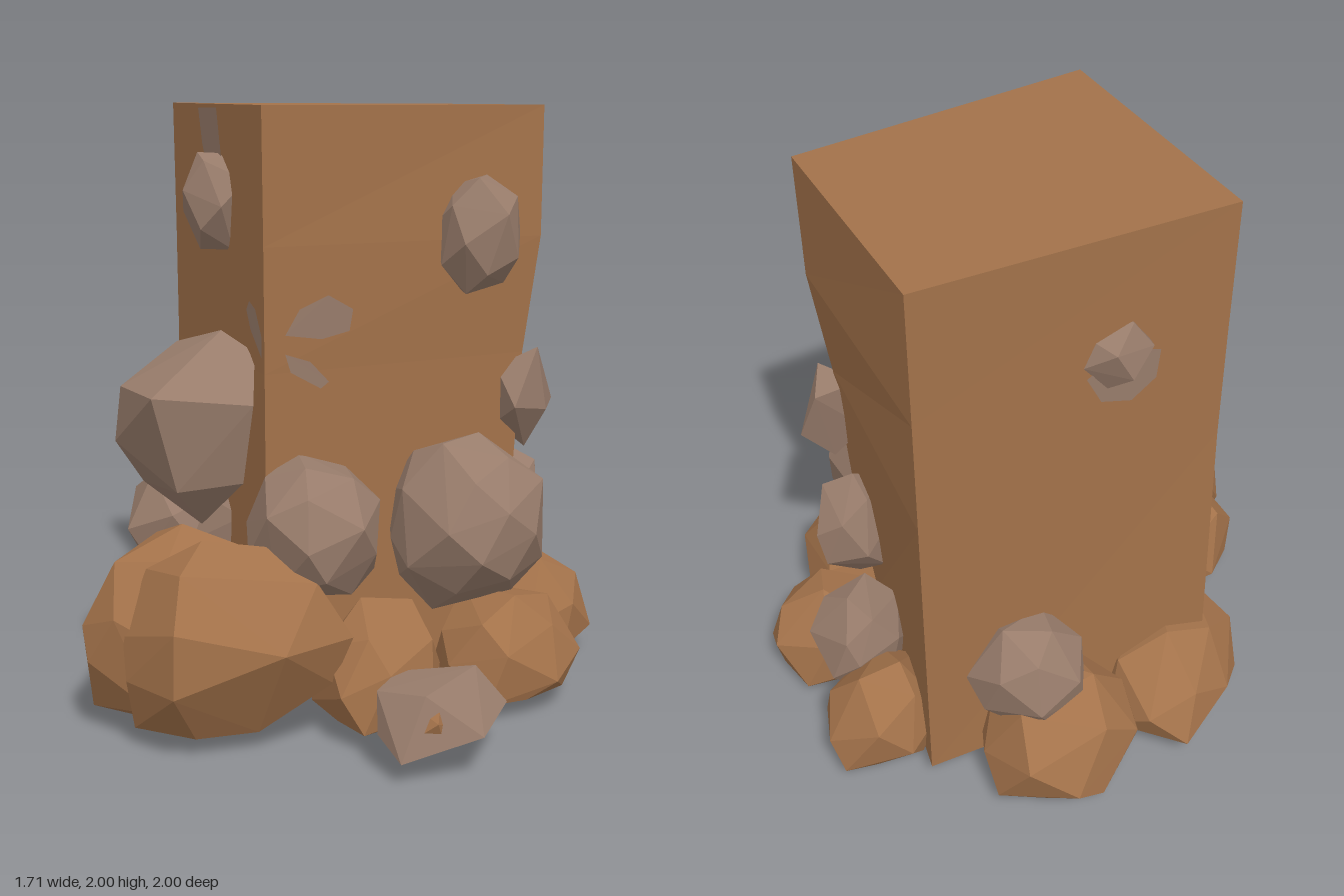
import * as THREE from 'three';
import { ConvexGeometry } from 'three/addons/geometries/ConvexGeometry.js';

const earth = new THREE.MeshStandardMaterial({ color: 0xa3724a, flatShading: true });
earth.name = 'earth brown';
const stone = new THREE.MeshStandardMaterial({ color: 0x987c6b, flatShading: true });
stone.name = 'stone grey';

const GROUND = 0.06;
const vec = (p) => new THREE.Vector3(...p);

function seeded(seed) {
  let s = seed * 7919 + 13;
  return () => {
    s = (s * 16807) % 2147483647;
    return s / 2147483647;
  };
}

// Faceted boulder: jittered points spread over a sphere, fitted to a centre and half sizes
function boulder([cx, cy, cz], [rx, ry, rz], count, seed) {
  const random = seeded(seed);
  random();
  const turn = random() * 6.28;
  const points = [];
  for (let i = 0; i < count; i++) {
    const y = 1 - (2 * (i + 0.5)) / count + (random() - 0.5) * 0.12;
    const r = Math.sqrt(Math.max(0, 1 - y * y));
    const a = turn + i * 2.39996 + (random() - 0.5) * 0.4;
    points.push(new THREE.Vector3(r * Math.cos(a), y, r * Math.sin(a)).multiplyScalar(0.94 + random() * 0.12));
  }
  const box = new THREE.Box3().setFromPoints(points);
  const mid = box.getCenter(new THREE.Vector3());
  const half = box.getSize(new THREE.Vector3()).multiplyScalar(0.5);
  for (const p of points) {
    p.sub(mid).divide(half);
    p.set(cx + p.x * rx, Math.max(GROUND, cy + p.y * ry), cz + p.z * rz);
  }
  return new ConvexGeometry(points);
}

// Angular rock from a few corners
const hull = (...corners) => new ConvexGeometry(corners.map(vec));

function fan(points) {
  const tris = [];
  for (let i = 1; i < points.length - 1; i++) tris.push(points[0], points[i], points[i + 1]);
  return tris;
}

function meshFrom(points, material, name) {
  const geometry = new THREE.BufferGeometry().setFromPoints(points);
  geometry.computeVertexNormals();
  const mesh = new THREE.Mesh(geometry, material);
  mesh.name = name;
  return mesh;
}

// Pillar rings, bottom to top; corners run front, right-hand, back, left-hand
const rings = [
  [[-0.065, 0.06, 0.52], [0.53, 0.06, -0.17], [0.06, 0.06, -0.905], [-0.735, 0.06, -0.22]],
  [[-0.066, 1.15, 0.52], [0.585, 1.15, -0.235], [0.06, 1.15, -0.917], [-0.718, 1.15, -0.22]],
  [[-0.067, 1.55, 0.52], [0.634, 1.55, -0.267], [0.06, 1.55, -0.922], [-0.72, 1.55, -0.22]],
  [[-0.07, 1.985, 0.52], [0.63, 1.99, -0.295], [0.06, 2.0, -0.93], [-0.725, 2.0, -0.22]],
].map((ring) => ring.map(vec));

function buildPillar() {
  const tris = [];
  for (let r = 0; r < rings.length - 1; r++) {
    for (let i = 0; i < 4; i++) {
      const j = (i + 1) % 4;
      tris.push(...fan([rings[r][i], rings[r][j], rings[r + 1][j], rings[r + 1][i]]));
    }
  }
  tris.push(...fan(rings[rings.length - 1]), ...fan([...rings[0]].reverse()));
  return meshFrom(tris, earth, 'pillar');
}

// Point just outside pillar side i, at fraction t along it and height y
function onSide(i, t, y) {
  const edge = (c) => {
    const k = Math.max(1, rings.findIndex((ring) => ring[c].y >= y));
    const lo = rings[k - 1][c], hi = rings[k][c];
    return lo.clone().lerp(hi, (y - lo.y) / (hi.y - lo.y));
  };
  const a = edge(i), b = edge((i + 1) % 4);
  const out = new THREE.Vector3(a.z - b.z, 0, b.x - a.x).normalize();
  return a.lerp(b, t).addScaledVector(out, 0.006);
}

// Soil boulders round the base: centre, half sizes, point count
const soilBoulders = [
  [[-0.34, 0.28, 0.55], [0.32, 0.37, 0.34], 34],
  [[0.28, 0.13, 0.42], [0.21, 0.29, 0.26], 24],
  [[0.6, 0.13, 0], [0.25, 0.25, 0.3], 26],
  [[0.57, 0.13, -0.46], [0.23, 0.25, 0.22], 22],
  [[0.27, 0.14, -0.8], [0.21, 0.26, 0.2], 22],
  [[-0.32, 0.14, -0.72], [0.28, 0.28, 0.28], 24],
  [[-0.62, 0.1, -0.28], [0.24, 0.24, 0.34], 24],
  [[-0.5, 0.13, 0.33], [0.23, 0.25, 0.24], 22],
  [[0.56, 0.17, 0.76], [0.06, 0.06, 0.05], 10],
];

// Grey stones stacked on the soil and set into the pillar
const stoneBoulders = [
  [[0.08, 0.65, 0.48], [0.22, 0.23, 0.22], 26],
  [[0.46, 0.61, 0.06], [0.27, 0.3, 0.27], 32],
  [[-0.48, 0.57, 0.2], [0.2, 0.19, 0.22], 22],
  [[0.5, 0.58, -0.34], [0.14, 0.22, 0.16], 18],
  [[0.4, 0.33, -0.61], [0.16, 0.2, 0.18], 20],
  [[-0.23, 0.43, -0.72], [0.19, 0.2, 0.16], 20],
  [[-0.41, 1.58, -0.44], [0.12, 0.12, 0.12], 14],
  [[0.465, 1.565, -0.055], [0.145, 0.195, 0.15], 18],
  [[-0.36, 1.675, 0.22], [0.115, 0.16, 0.12], 14],
];

function addRocks(model, shapes, material, name) {
  const group = new THREE.Group();
  group.name = name + 's';
  for (const shape of shapes) {
    const mesh = new THREE.Mesh(shape, material);
    mesh.name = name;
    group.add(mesh);
  }
  model.add(group);
}

// Stone showing flush with the pillar sides: side, then fraction and height pairs
const patches = [
  [0, [[0.07, 1.27], [0.2, 1.25], [0.3, 1.27], [0.31, 1.34], [0.22, 1.39], [0.12, 1.35]]],
  [0, [[0.07, 1.21], [0.09, 1.15], [0.2, 1.09], [0.23, 1.11], [0.16, 1.18]]],
  [3, [[0.84, 1.34], [0.88, 1.28], [0.99, 1.2], [0.99, 1.27], [0.93, 1.35], [0.87, 1.37]]],
  [3, [[0.34, 1.98], [0.38, 1.86], [0.47, 1.72], [0.6, 1.8], [0.55, 1.98]]],
  [2, [[0.53, 1.53], [0.58, 1.43], [0.68, 1.4], [0.76, 1.46], [0.77, 1.56], [0.65, 1.6]]],
];

export function createModel() {
  const model = new THREE.Group();
  model.name = 'rockyPillar';
  model.add(buildPillar());

  // Large front boulder, reaching lowest
  const frontBoulder = hull(
    [-0.41, 0.36, 0.86], [-0.38, 0.55, 0.75], [-0.2, 0.65, 0.72], [0, 0.63, 0.65], [0.16, 0.53, 0.65],
    [0.26, 0.35, 0.6], [0.2, 0.2, 0.62], [0.13, 0.35, 0.84], [-0.17, 0.43, 0.99], [-0.17, 0.23, 1],
    [-0.38, 0.23, 0.9], [0, 0.06, 0.75], [-0.2, 0, 0.6], [-0.38, 0.06, 0.85], [-0.16, 0.06, 0.87],
    [-0.2, 0.58, 0.88], [0, 0.4, 0.35],
  );
  // Large stone leaning on the front
  const frontStone = hull(
    [-0.36, 1.09, 0.73], [-0.08, 1.06, 0.58], [-0.29, 1.26, 0.35], [-0.5, 1.2, 0.25], [-0.15, 1.2, 0.4],
    [-0.56, 1.09, 0.55], [-0.66, 0.95, 0.27], [-0.62, 0.9, 0], [-0.6, 0.9, 0.52], [-0.56, 0.74, 0.4],
    [-0.3, 0.64, 0.5], [-0.31, 0.78, 0.66], [-0.13, 0.8, 0.55], [-0.35, 0.75, 0.15],
  );
  // Pointed stone on the pillar corner
  const cornerStone = hull(
    [0.64, 1.17, -0.23], [0.6, 1.13, -0.37], [0.66, 0.97, -0.38], [0.6, 0.98, -0.08], [0.67, 0.95, -0.25],
    [0.59, 0.81, -0.27], [0.5, 1.1, -0.2], [0.5, 0.9, -0.2],
  );
  // Loose slab lying in front
  const looseSlab = hull(
    [0.39, 0.25, 0.76], [0.39, 0.24, 0.55], [0.4, 0.12, 0.78], [0.62, 0.26, 0.47], [0.55, 0.26, 0.78],
    [0.72, 0.15, 0.46], [0.72, 0.14, 0.74], [0.5, 0.07, 0.86], [0.65, 0.06, 0.5], [0.45, 0.06, 0.5],
  );

  const soil = soilBoulders.map(([centre, half, count], i) => boulder(centre, half, count, 11 + i));
  const stones = stoneBoulders.map(([centre, half, count], i) => boulder(centre, half, count, 41 + i));
  addRocks(model, [...soil, frontBoulder], earth, 'soilBoulder');
  addRocks(model, [...stones, frontStone, cornerStone, looseSlab], stone, 'stone');

  for (const [side, outline] of patches) {
    model.add(meshFrom(fan(outline.map(([t, y]) => onSide(side, t, y))), stone, 'stonePatch'));
  }
  return model;
}
